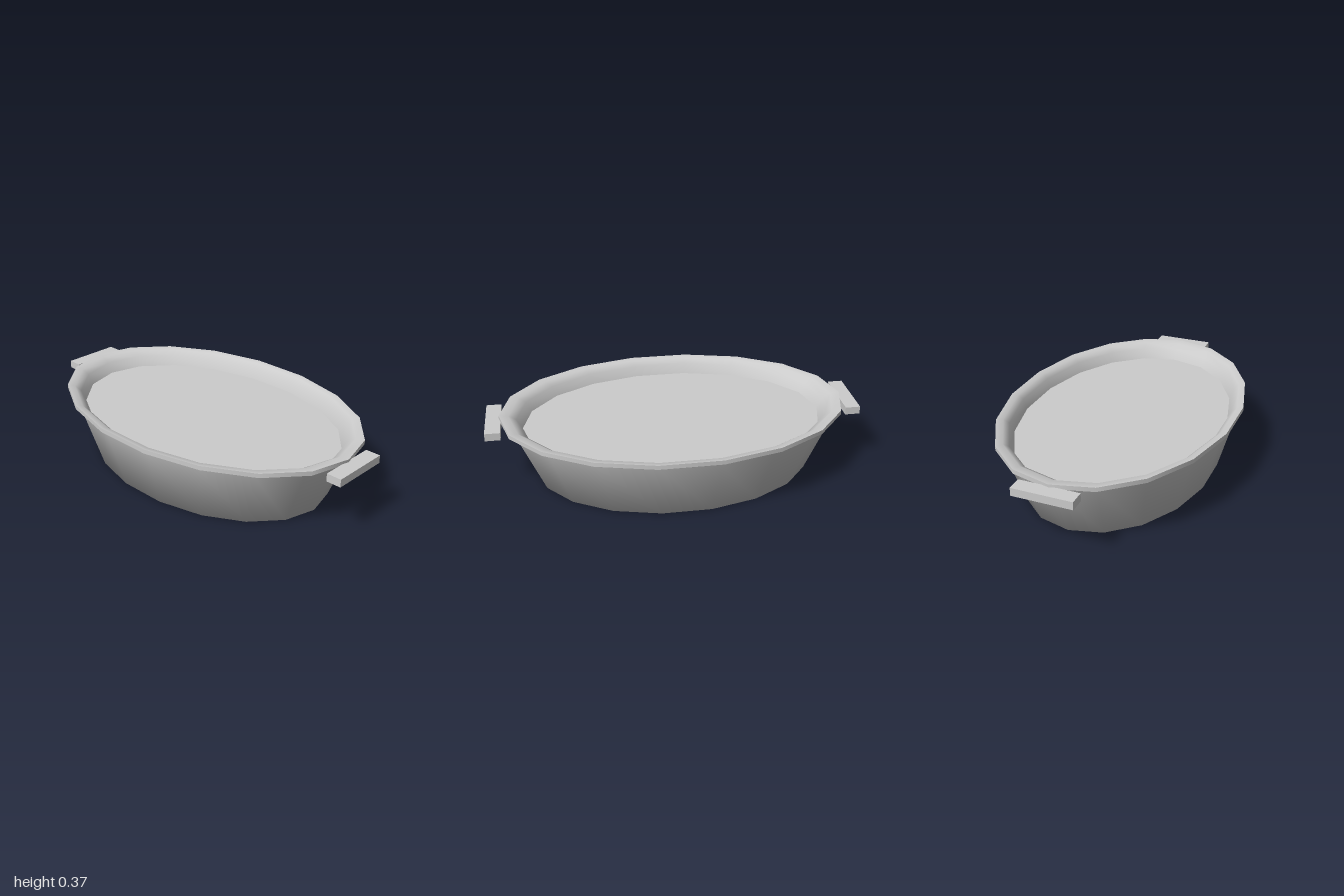
import * as THREE from 'three';

const SIDES = 18;
const DEPTH_RATIO = 0.667; // oval: depth against width

export function createModel() {
  const group = new THREE.Group();
  const grey = new THREE.MeshStandardMaterial({ color: 0xcccccc, side: THREE.DoubleSide });
  grey.name = 'light grey';

  const add = (name, geometry) => {
    const mesh = new THREE.Mesh(geometry, grey);
    mesh.name = name;
    group.add(mesh);
    return mesh;
  };

  // Oval surface swept from [radius, height] points, with a corner on the x axis
  const oval = (name, profile) => {
    const points = profile.map(([r, y]) => new THREE.Vector2(r, y));
    const geometry = new THREE.LatheGeometry(points, SIDES, Math.PI / 2);
    return add(name, geometry.scale(1, 1, DEPTH_RATIO));
  };

  // Flared outer wall and underside, softly shaded across the bottom edge
  oval('body', [[0, 0], [0.75, 0], [0.883, 0.32], [0.91, 0.34]]);

  // Overhanging rim: underside, upright edge, then the lip rolling inwards
  oval('rimUnderside', [[0.88, 0.338], [0.93, 0.342]]);
  oval('rimEdge', [[0.93, 0.342], [0.93, 0.365]]);
  oval('innerLip', [[0.93, 0.365], [0.88, 0.36], [0.84, 0.335], [0.81, 0.28]]);

  // Flat inner floor
  oval('floor', [[0.81, 0.28], [0, 0.28]]);

  // Handle slabs at both ends
  for (const [side, name] of [[1, 'leftHandle'], [-1, 'rightHandle']]) {
    add(name, new THREE.BoxGeometry(0.08, 0.042, 0.316)).position.set(side * 0.96, 0.329, 0);
  }
  return group;
}
